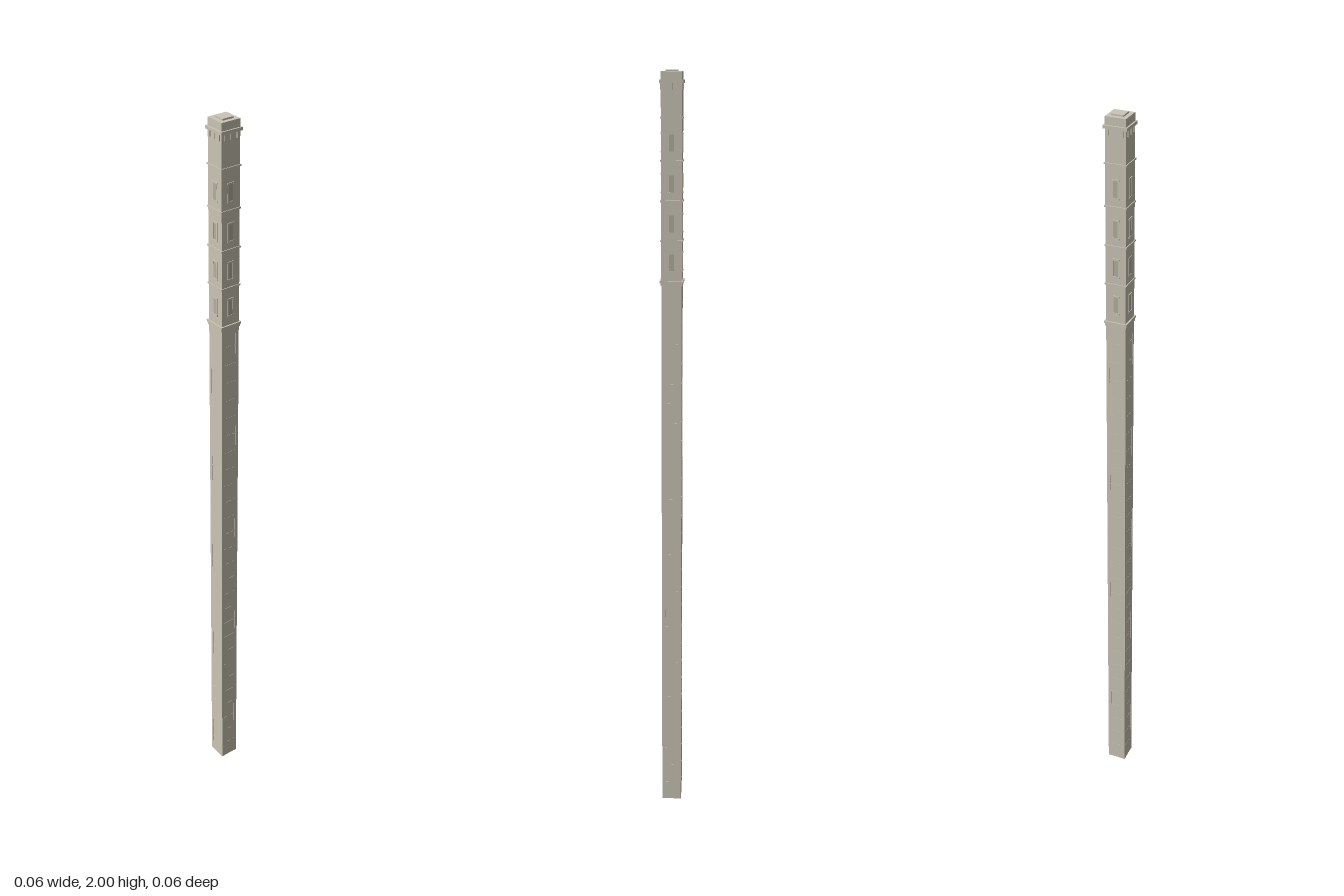
import * as THREE from 'three';

export function createModel() {
  const tower = new THREE.Group();
  tower.name = 'tower';
  const stone = new THREE.MeshStandardMaterial({ color: 0xcbc5b5 });
  stone.name = 'stone';
  const shade = new THREE.MeshStandardMaterial({ color: 0xb5af9f });
  shade.name = 'shaded stone';

  const box = (name, w, y0, y1, d = w, x = 0, z = 0, mat = stone, parent = tower) => {
    const mesh = new THREE.Mesh(new THREE.BoxGeometry(w, y1 - y0, d), mat);
    mesh.position.set(x, (y0 + y1) / 2, z);
    mesh.name = name;
    parent.add(mesh);
    return mesh;
  };

  // Long plain shaft with corner strips and a fine course at each storey
  const storey = 0.0525, shaftTop = storey * 28;
  box('shaft', 0.0515, 0, shaftTop);
  for (const sx of [-1, 1]) for (const sz of [-1, 1]) {
    box('cornerStrip', 0.009, 0, shaftTop, 0.009, sx * 0.0217, sz * 0.0217);
  }
  for (let i = 1; i < 28; i++) box('shaftCourse', 0.0524, i * storey - 0.001, i * storey + 0.001);

  // Upper stage resting on a projecting ledge
  box('lowerLedge', 0.057, shaftTop - 0.004, shaftTop + 0.003);
  box('ledgeSlab', 0.061, shaftTop + 0.003, shaftTop + 0.009);
  box('upperStage', 0.053, shaftTop + 0.009, 1.968);
  for (const y of [1.58, 1.68, 1.78, 1.885]) box('upperCourse', 0.0575, y - 0.002, y + 0.002);

  // Four identical sides: framed windows and small brackets under the cornice
  for (let side = 0; side < 4; side++) {
    const face = new THREE.Group();
    face.name = 'windowSide';
    face.rotation.y = side * Math.PI / 2;
    tower.add(face);
    for (const y of [1.505, 1.603, 1.703, 1.803]) {
      box('window', 0.012, y, y + 0.042, 0.0006, 0, 0.0267, shade, face);
      for (const s of [-1, 1]) box('windowJamb', 0.003, y, y + 0.042, 0.0015, s * 0.0075, 0.027, stone, face);
      box('windowHead', 0.02, y + 0.042, y + 0.046, 0.002, 0, 0.0272, stone, face);
      box('windowSill', 0.02, y - 0.004, y, 0.002, 0, 0.0272, stone, face);
    }
    for (const x of [-0.018, 0, 0.018]) box('bracket', 0.004, 1.952, 1.968, 0.003, x, 0.0275, stone, face);
  }

  // Cornice, crown and flat cap
  box('cornice', 0.061, 1.968, 1.976);
  box('crown', 0.053, 1.976, 1.996);
  box('cap', 0.031, 1.996, 2);
  return tower;
}
